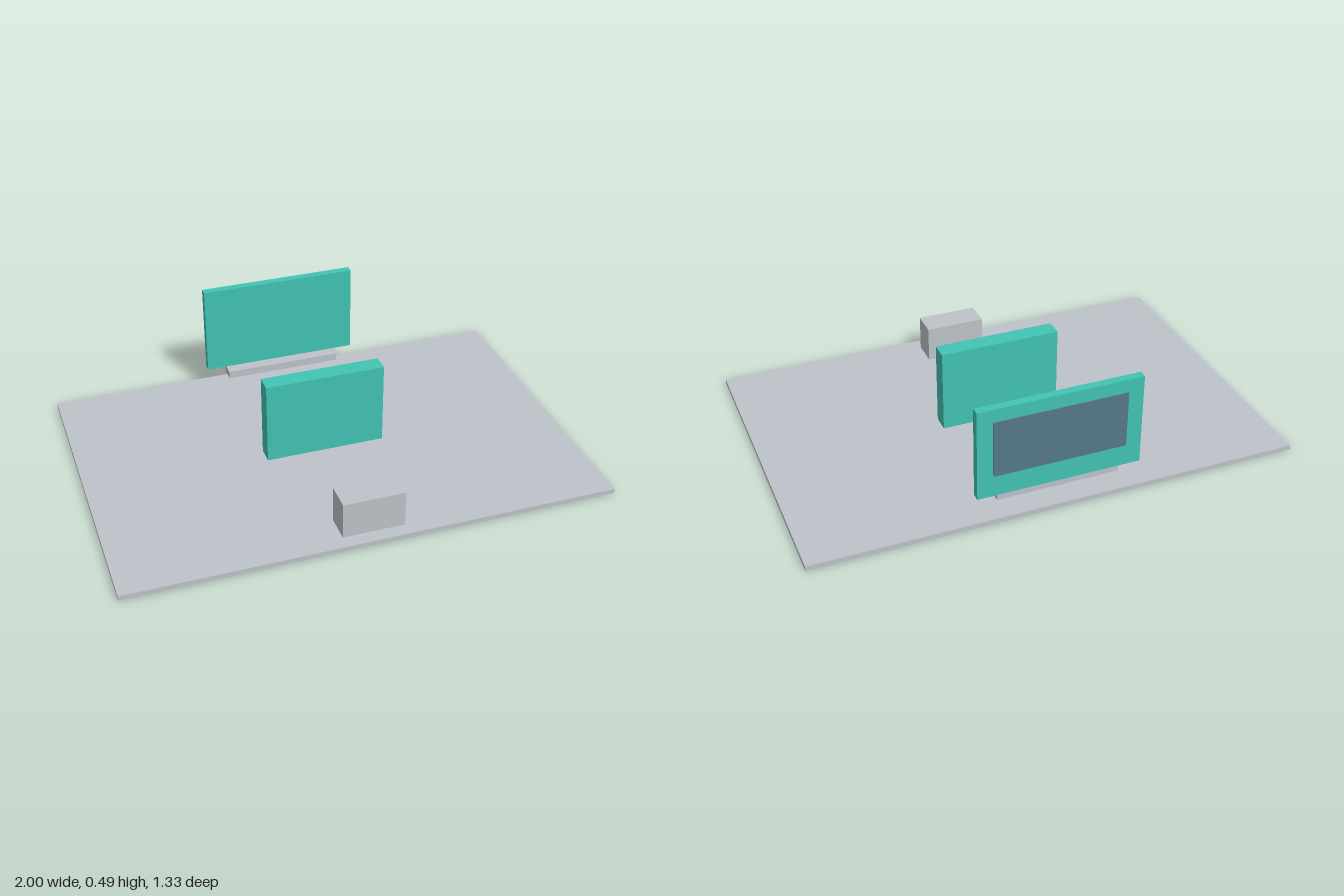
import * as THREE from 'three';

export function createModel() {
  const model = new THREE.Group();
  model.name = 'displayStand';

  const material = (name, color) => {
    const m = new THREE.MeshStandardMaterial({ color });
    m.name = name;
    return m;
  };
  const grey = material('silver grey', 0xbdc3c9);
  const teal = material('teal', 0x42c3b4);
  const slate = material('slate blue', 0x567889);

  // Box centred on x, given its width and its y and z ranges
  const addBox = (name, mat, width, [y0, y1], [z0, z1]) => {
    const mesh = new THREE.Mesh(new THREE.BoxGeometry(width, y1 - y0, z1 - z0), mat);
    mesh.position.set(0, (y0 + y1) / 2, (z0 + z1) / 2);
    mesh.name = name;
    model.add(mesh);
  };

  // Floor slab and the upright pieces standing on it
  addBox('basePlate', grey, 2, [0, 0.02], [-0.667, 0.667]);
  addBox('centrePanel', teal, 0.5, [0.0, 0.37], [-0.037, 0.037]);
  addBox('frontBlock', grey, 0.253, [0.01, 0.172], [0.496, 0.61]);

  // Raised rear screen with its ledge, screen face turned to the back
  addBox('screenLedge', grey, 0.5, [0.07, 0.103], [-0.622, -0.55]);
  addBox('screenFrame', teal, 0.667, [0.103, 0.485], [-0.634, -0.6]);
  addBox('screenFace', slate, 0.54, [0.193, 0.43], [-0.638, -0.632]);

  return model;
}
